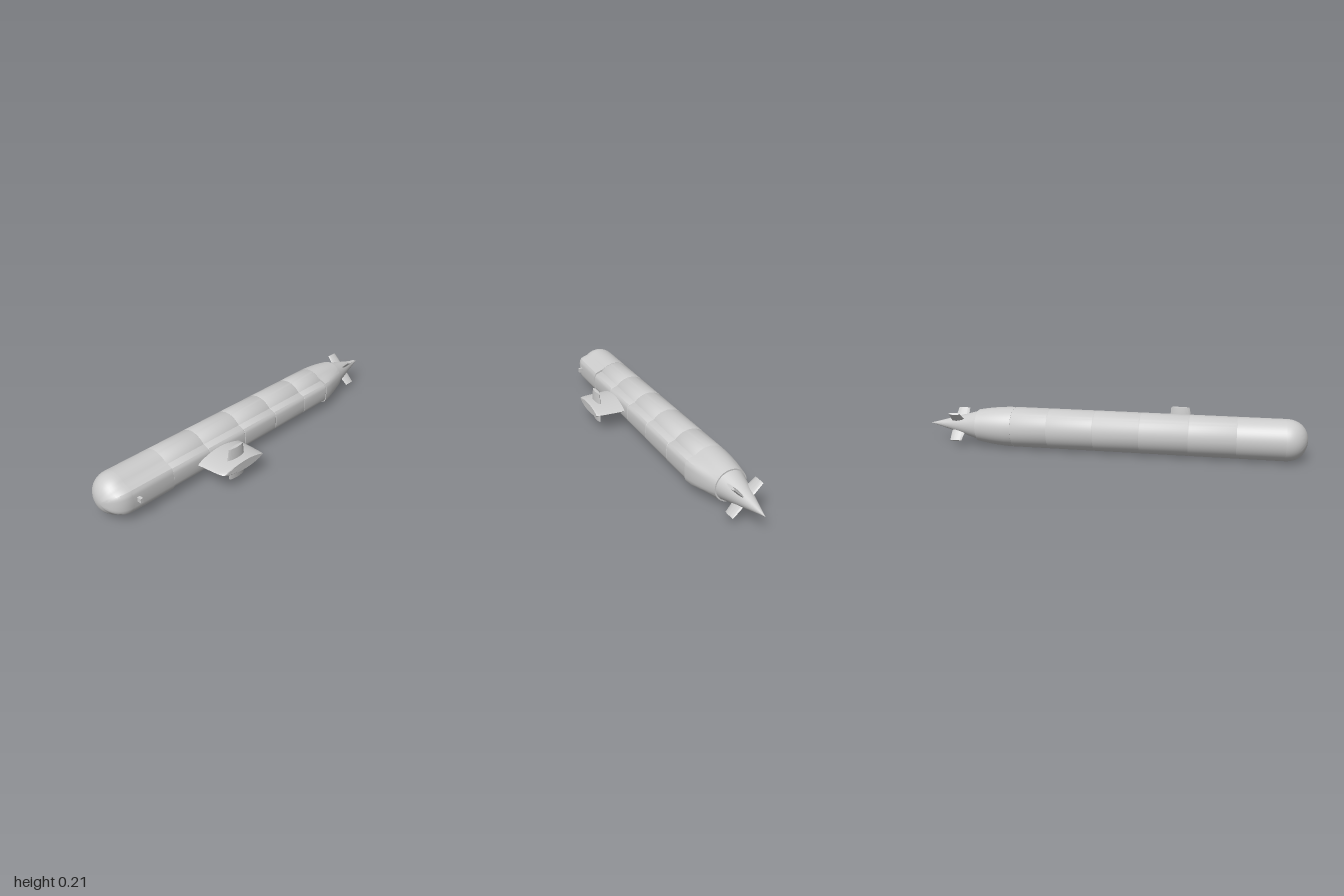
import * as THREE from 'three';
import { toCreasedNormals } from 'three/addons/utils/BufferGeometryUtils.js';

const CY = 0.107, CZ = -0.094, R = 0.106; // hull axis and radius
const material = new THREE.MeshStandardMaterial({ color: 0xcccccc });

// Skin a list of equal-length rings and close both ends.
function loft(rings, crease = 0.45) {
  const n = rings[0].length, pos = [], idx = [];
  for (const ring of rings) for (const p of ring) pos.push(...p);
  for (let i = 0; i < rings.length - 1; i++) {
    for (let j = 0; j < n; j++) {
      const k = (j + 1) % n, a = i * n + j, b = i * n + k;
      idx.push(a, a + n, b + n, a, b + n, b);
    }
  }
  [0, rings.length - 1].forEach((r, end) => {
    const c = pos.length / 3;
    pos.push(...[0, 1, 2].map((m) => rings[r].reduce((s, p) => s + p[m], 0) / n));
    for (let j = 0; j < n; j++) {
      const a = r * n + j, b = r * n + (j + 1) % n;
      idx.push(c, end ? b : a, end ? a : b);
    }
  });
  const g = new THREE.BufferGeometry();
  g.setAttribute('position', new THREE.Float32BufferAttribute(pos, 3));
  g.setIndex(idx);
  return toCreasedNormals(g, crease);
}

// Outline as [z, y] about the hull axis: deck side given, the rest an arc.
function outline(deck, arcSteps) {
  const half = deck.slice();
  const [z0, y0] = deck[deck.length - 1];
  const start = Math.atan2(y0, z0), r = Math.hypot(z0, y0);
  for (let i = 1; i <= arcSteps; i++) {
    const t = start + (Math.PI - start) * i / arcSteps;
    half.push([r * Math.cos(t), r * Math.sin(t)]);
  }
  const mirrored = half.slice(1, -1).reverse().map(([z, y]) => [z, -y]);
  return half.concat(mirrored);
}
const place = (pts, x, s = 1, oz = 0) =>
  pts.map(([z, y]) => [x, CY + y * s, CZ + oz + (z - oz) * s]);

// Hull with the deck casing faired in, used at bow and stern
const faired = outline([[0.133, 0], [0.132, 0.03], [0.129, 0.045], [0.121, 0.058],
  [0.108, 0.065], [0.09, 0.0715], [0.072, 0.0778]], 20);
// Bare pressure hull
const round = outline([[R, 0]], 28);
// Narrower casing over the middle of the hull
const casing = [[0.131, 0], [0.13, 0.03], [0.126, 0.043], [0.118, 0.053],
  [0.095, 0.061], [0.06, 0.071], [0, 0.071]];
const casingLoop = casing.concat(casing.slice(1).reverse().map(([z, y]) => [z, -y]));

// Lens-section blade along +z; stations are [z, xMin, xMax, halfThickness].
function foil(stations) {
  const n = 32;
  return loft(stations.map(([z, x0, x1, h]) => Array.from({ length: n }, (_, j) => {
    const t = j / n * Math.PI * 2, s = Math.sin(t);
    return [(x0 + x1) / 2 + (x1 - x0) / 2 * Math.cos(t), -h * s * Math.sqrt(Math.abs(s)), z];
  })), 0.6);
}

export function createModel() {
  const model = new THREE.Group();
  model.name = 'submarine';
  const add = (name, geometry, x = 0, y = 0, z = 0) => {
    const m = new THREE.Mesh(geometry, material);
    m.name = name;
    m.position.set(x, y, z);
    model.add(m);
    return m;
  };

  // Rounded nose
  const nose = [];
  for (let i = 0; i <= 12; i++) {
    const t = Math.cos(i / 12 * Math.PI / 2);
    const s = Math.max(0.01, Math.sqrt(1 - Math.pow(t, 2.2)));
    nose.push(place(faired, -0.89 - 0.11 * t, s, 0.014));
  }
  add('bowNose', loft(nose));
  add('bowSection', loft([-0.89, -0.65].map((x) => place(faired, x))));

  // Middle sections with fine seams between them
  const joints = [-0.65, -0.41, -0.16, 0.08, 0.325, 0.52];
  for (let i = 0; i < joints.length - 1; i++) {
    const a = joints[i], b = joints[i + 1];
    const stations = [[a, 0.988], [a + 0.003, 1], [b - 0.003, 1], [b, 0.988]];
    add('hullSection' + (i + 1), loft(stations.map(([x, s]) => place(round, x, s))));
    add('deckCasing' + (i + 1), loft(stations.map(([x, s]) => place(casingLoop, x, s))));
  }

  // Stern fairing: casing fades into the tapering hull
  const stern = [[0.52, R, 1], [0.56, 0.105, 0.88], [0.6, 0.102, 0.66],
    [0.64, 0.098, 0.42], [0.68, 0.092, 0.2], [0.72, 0.085, 0]];
  add('sternFairing', loft(stern.map(([x, r, k]) => place(faired.map(([z, y]) => {
    const d = Math.hypot(z, y), q = r / d * (1 - k) + k * Math.max(r, d * r / R) / d;
    return [z * q, y * q];
  }), x))));

  // Tail cone
  const cone = new THREE.ConeGeometry(0.078, 0.28, 40);
  cone.rotateZ(-Math.PI / 2);
  add('tailCone', cone, 0.86, CY, CZ);

  // Four diagonal tail fins
  for (let i = 0; i < 4; i++) {
    const fin = add('tailFin' + (i + 1), foil([[0.015, 0.785, 0.868, 0.008],
      [0.07, 0.798, 0.867, 0.0075], [0.104, 0.802, 0.865, 0.007]]), 0, CY, CZ);
    fin.rotation.x = Math.PI / 4 + i * Math.PI / 2;
  }

  // Sail with rounded upper edge
  add('sail', foil([[0.02, -0.495, -0.195, 0.037], [0.1, -0.489, -0.196, 0.032],
    [0.165, -0.483, -0.198, 0.029], [0.188, -0.477, -0.2, 0.027],
    [0.197, -0.468, -0.202, 0.026], [0.2, -0.455, -0.207, 0.024]]), 0, CY + 0.002, 0);

  // Sail planes
  for (const side of [-1, 1]) {
    const plane = add(side > 0 ? 'sailPlaneUpper' : 'sailPlaneLower',
      foil([[0.01, -0.4, -0.285, 0.016], [0.04, -0.398, -0.287, 0.0145],
        [0.075, -0.393, -0.29, 0.011], [0.087, -0.39, -0.291, 0.0095]]), 0, CY + 0.001, 0.146);
    plane.rotation.x = -side * Math.PI / 2;
  }

  // Small post on the fore deck
  add('foreDeckPost', new THREE.BoxGeometry(0.015, 0.024, 0.035), -0.862, 0.112, 0.045);
  return model;
}
